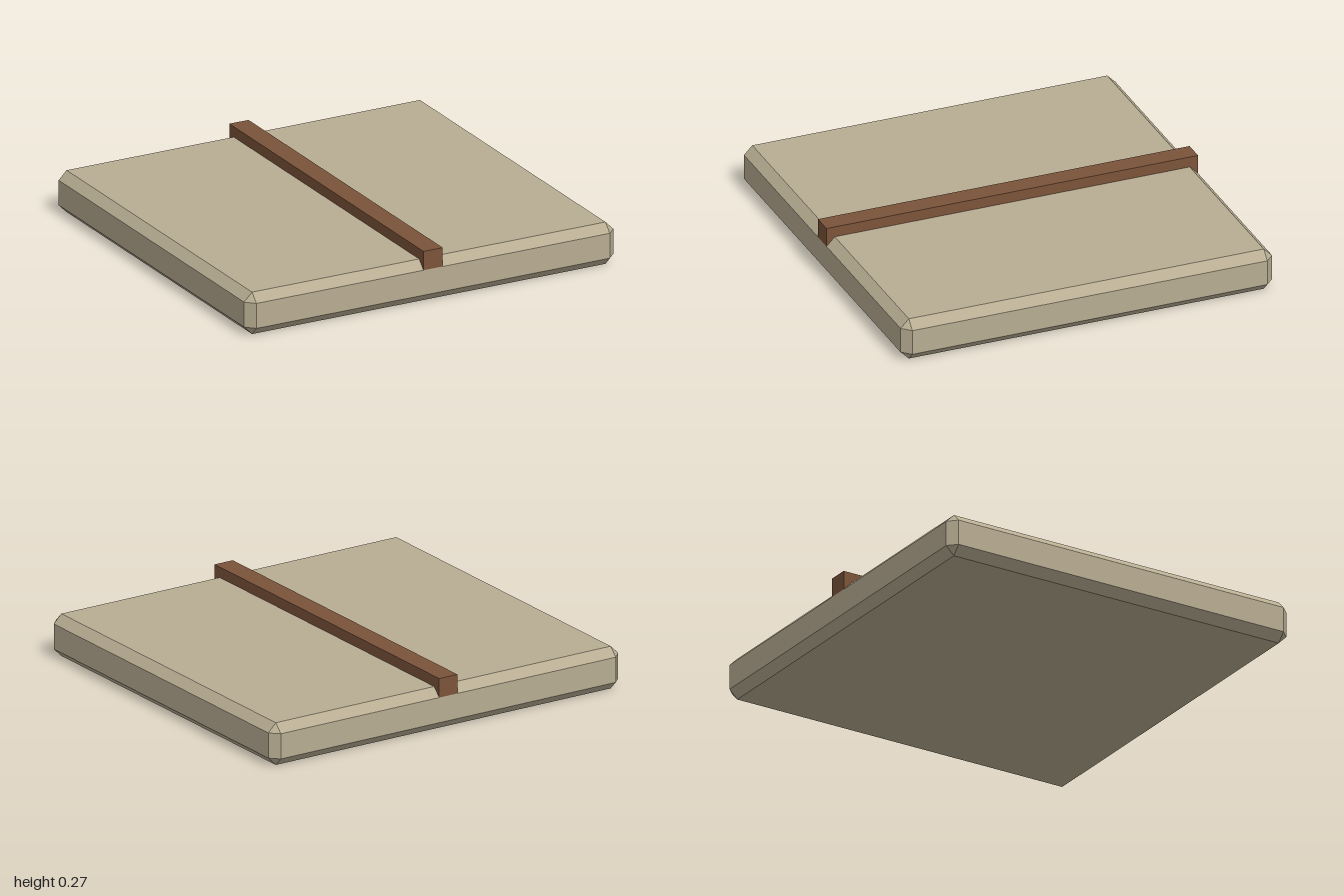
import * as THREE from 'three';
import { ConvexGeometry } from 'three/addons/geometries/ConvexGeometry.js';

// Box with flat chamfers on all edges and corners, centred on the origin.
function chamferedBox(width, height, depth, c) {
  const x = width / 2, y = height / 2, z = depth / 2;
  const points = [];
  for (const sx of [-1, 1]) for (const sy of [-1, 1]) for (const sz of [-1, 1]) {
    points.push(
      new THREE.Vector3(sx * x, sy * (y - c), sz * (z - c)),
      new THREE.Vector3(sx * (x - c), sy * y, sz * (z - c)),
      new THREE.Vector3(sx * (x - c), sy * (y - c), sz * z)
    );
  }
  return new ConvexGeometry(points);
}

export function createModel() {
  const stone = new THREE.MeshStandardMaterial({ color: 0xb8ad93, flatShading: true });
  stone.name = 'paleStone';
  const wood = new THREE.MeshStandardMaterial({ color: 0x7b533a, flatShading: true });
  wood.name = 'brownWood';

  const group = new THREE.Group();
  group.name = 'slabWithRidge';
  const depth = 1.914;

  // Chamfered base slab
  const slab = new THREE.Mesh(chamferedBox(2, 0.213, depth, 0.043), stone);
  slab.name = 'slab';
  slab.position.y = 0.1065;
  group.add(slab);

  // Square beam running front to back, sunk into the top of the slab
  const beam = new THREE.Mesh(new THREE.BoxGeometry(0.104, 0.096, depth), wood);
  beam.name = 'ridgeBeam';
  beam.position.y = 0.218;
  group.add(beam);

  return group;
}
